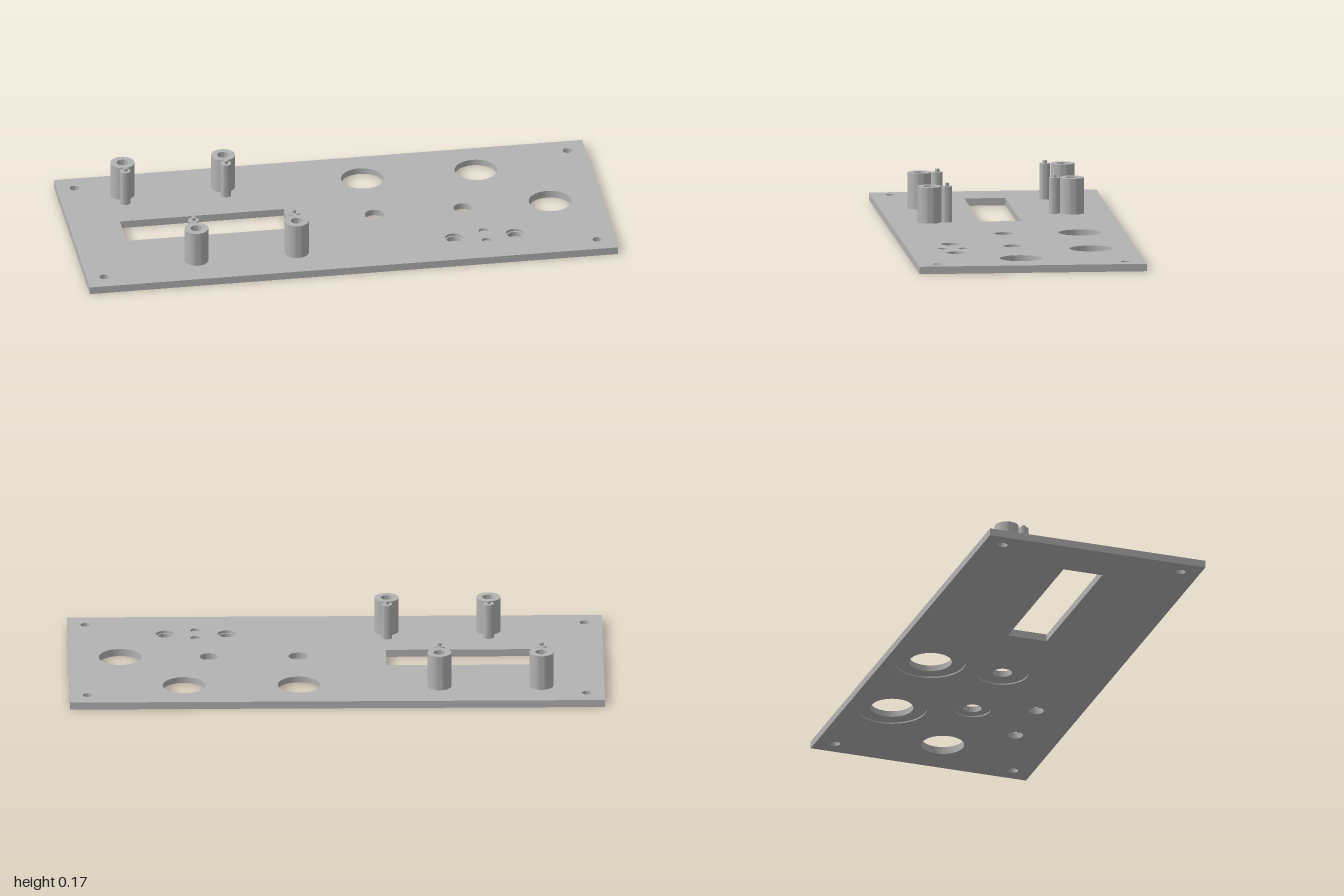
import * as THREE from 'three';
import { toCreasedNormals } from 'three/addons/utils/BufferGeometryUtils.js';

const HALF_DEPTH = 0.427, PLATE_TOP = 0.028, POST_TOP = 0.163, PIN_TOP = 0.175;

// Openings as [x, z, radius]
const screwHoles = [[-0.933, -0.353], [0.933, -0.353], [-0.933, 0.353], [0.933, 0.353]]
  .map(([x, z]) => [x, z, 0.018]);
const socketHole = [0.806, 0.028, 0.08];
const knobHoles = [[0.141, -0.257, 0.08], [0.571, -0.257, 0.08], [0.141, 0.028, 0.036], [0.475, 0.028, 0.034]];
const knobRecesses = [0.131, 0.131, 0.096, 0.068].map((r, i) => [knobHoles[i][0], knobHoles[i][1], r]);
const lampHoles = [[0.405, 0.256, 0.028], [0.636, 0.256, 0.028]];
const lampSeats = lampHoles.map(([x, z]) => [x, z, 0.034]);
const blindHoles = [[0.523, 0.218, 0.018], [0.523, 0.294, 0.018]];
const through = [...screwHoles, socketHole];

// One horizontal slice of the panel, pierced by the display window and round holes
function plateLayer(name, y0, y1, holes, material) {
  const shape = new THREE.Shape([[-1, -1], [1, -1], [1, 1], [-1, 1]]
    .map(([x, z]) => new THREE.Vector2(x, z * HALF_DEPTH)));
  shape.holes.push(new THREE.Path([[-0.807, -0.067], [-0.807, 0.087], [-0.187, 0.087], [-0.187, -0.067]]
    .map(([x, z]) => new THREE.Vector2(x, z))));
  for (const [x, z, r] of holes) {
    shape.holes.push(new THREE.Path().absarc(x, z, r, 0, Math.PI * 2, true));
  }
  const geometry = new THREE.ExtrudeGeometry(shape, { depth: y1 - y0, bevelEnabled: false, curveSegments: 24 });
  geometry.rotateX(Math.PI / 2).translate(0, y1, 0);
  const mesh = new THREE.Mesh(toCreasedNormals(geometry, 0.6), material);
  mesh.name = name;
  return mesh;
}

// Turned part from a [radius, height] profile
function turned(name, profile, material) {
  const geometry = new THREE.LatheGeometry(profile.map(([r, y]) => new THREE.Vector2(r, y)), 40);
  const mesh = new THREE.Mesh(toCreasedNormals(geometry, 0.6), material);
  mesh.name = name;
  return mesh;
}

export function createModel() {
  const model = new THREE.Group();
  model.name = 'controlPanel';
  const grey = new THREE.MeshStandardMaterial({ color: 0xb3b3b3 });
  grey.name = 'panelGrey';

  // Panel: recessed underside, core, and top skin with lamp seats and blind holes
  const panel = new THREE.Group();
  panel.name = 'panel';
  panel.add(
    plateLayer('undersideSkin', 0, 0.005, [...through, ...knobRecesses, ...lampHoles], grey),
    plateLayer('panelCore', 0.005, 0.018, [...through, ...knobHoles, ...lampHoles], grey),
    plateLayer('topSkin', 0.018, PLATE_TOP, [...through, ...knobHoles, ...lampSeats, ...blindHoles], grey)
  );
  model.add(panel);

  // Display standoffs: hollow post with a locating pin on the window side
  for (const [x, side] of [[-0.764, -1], [-0.383, -1], [-0.573, 1], [-0.193, 1]]) {
    const standoff = new THREE.Group();
    standoff.name = 'displayStandoff';
    const post = turned('screwPost', [[0.045, PLATE_TOP], [0.045, POST_TOP], [0.022, POST_TOP], [0.022, PLATE_TOP]], grey);
    const pin = turned('locatingPin',
      [[0.02, PLATE_TOP], [0.02, POST_TOP], [0.008, POST_TOP], [0.008, PIN_TOP], [0, PIN_TOP]], grey);
    pin.position.z = -side * 0.066;
    standoff.add(post, pin);
    standoff.position.set(x, 0, side * 0.277);
    model.add(standoff);
  }
  return model;
}
